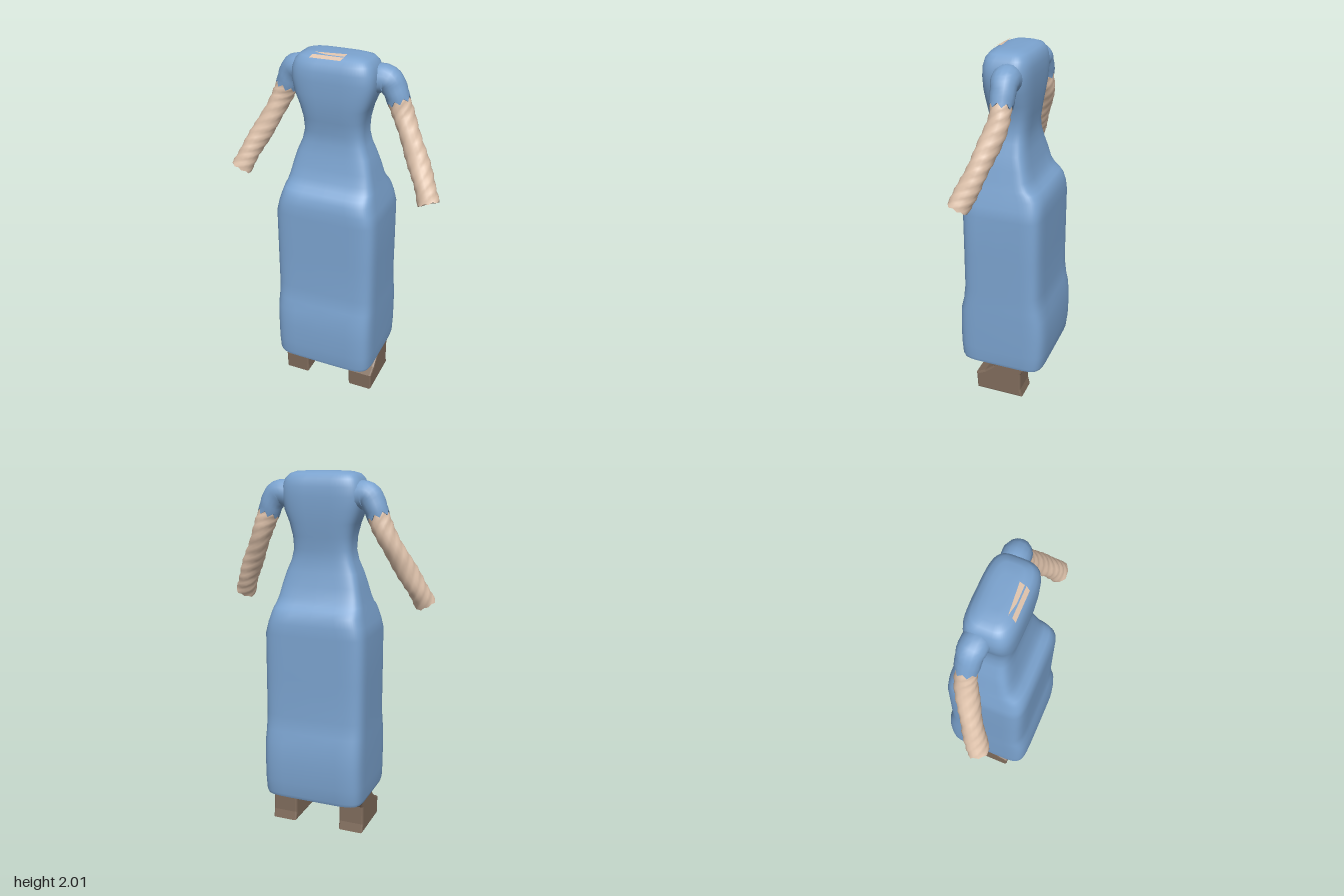
import * as THREE from 'three';

const material = (name, color) => Object.assign(new THREE.MeshStandardMaterial({ color }), { name });

// Smooth skin over a list of rings of points
function loft(rings) {
  const n = rings[0].length, index = [];
  for (let r = 0; r < rings.length - 1; r++) {
    for (let i = 0; i < n; i++) {
      const a = r * n + i, b = r * n + (i + 1) % n;
      index.push(a, a + n, b, b, a + n, b + n);
    }
  }
  const g = new THREE.BufferGeometry().setFromPoints(rings.flat());
  g.setIndex(index);
  g.computeVertexNormals();
  return g;
}

// Rounded-box ring: half width w, front and back depth, squareness p
function boxRing([y, w, front, back, p]) {
  const ring = [], n = 56;
  for (let i = 0; i < n; i++) {
    const t = (i / n) * Math.PI * 2, c = Math.cos(t), s = Math.sin(t);
    const x = Math.sign(c) * Math.abs(c) ** (2 / p) * w;
    const z = Math.sign(s) * Math.abs(s) ** (2 / p) * (s > 0 ? front : back);
    ring.push(new THREE.Vector3(x - 0.004, y, z));
  }
  return ring;
}

// Limb of varying radius along [x, y, z, radius] points, closed at both ends
function limb(stations, side, steps, lump, zigzag) {
  const curve = new THREE.CatmullRomCurve3(stations.map(([x, y, z]) => new THREE.Vector3(x * side, y, z)));
  const n = 16, rings = [];
  const ring = (t, scale) => {
    const c = curve.getPoint(t), T = curve.getTangent(t);
    const u = new THREE.Vector3(0, 0, 1).addScaledVector(T, -T.z).normalize();
    const v = u.clone().cross(T);
    const f = t * (stations.length - 1), k = Math.min(Math.floor(f), stations.length - 2);
    const radius = THREE.MathUtils.lerp(stations[k][3], stations[k + 1][3], f - k);
    return Array.from({ length: n }, (_, i) => {
      const a = (i / n) * Math.PI * 2;
      const r = (radius + lump * Math.sin(a * 3 + t * 23) * Math.cos(t * 37 + a)) * scale;
      const p = c.clone().addScaledVector(u, Math.cos(a) * r).addScaledVector(v, Math.sin(a) * r);
      return t === 1 && scale ? p.addScaledVector(T, (i % 2 ? 1 : -1) * zigzag) : p;
    });
  };
  rings.push(ring(0, 0), ring(0, 1));
  for (let i = 0; i <= steps; i++) rings.push(ring(i / steps, 1));
  rings.push(ring(1, 1), ring(1, 0));
  return loft(rings);
}

export function createModel() {
  const model = new THREE.Group();
  model.name = 'dressedFigure';
  const blue = material('dressBlue', 0x7ba3cf);
  const skin = material('skin', 0xdec2ab);
  const brown = material('shoeBrown', 0x806c5c);
  const add = (name, geometry, mat) => {
    const mesh = new THREE.Mesh(geometry, mat);
    mesh.name = name;
    model.add(mesh);
    return mesh;
  };

  // Dress, from the underside of the hem up to the neckline
  const sections = [
    [0.2, 0, 0, 0, 7], [0.2, 0.285, 0.25, 0.24, 7], [0.2, 0.285, 0.25, 0.24, 7],
    [0.22, 0.291, 0.256, 0.248, 7], [0.3, 0.293, 0.262, 0.257, 7], [0.42, 0.293, 0.262, 0.26, 7],
    [0.53, 0.293, 0.256, 0.252, 7], [0.59, 0.291, 0.24, 0.238, 7], [0.68, 0.29, 0.229, 0.226, 7],
    [0.9, 0.29, 0.228, 0.225, 7], [1.14, 0.289, 0.228, 0.225, 7], [1.2, 0.276, 0.226, 0.222, 6.5],
    [1.25, 0.262, 0.216, 0.212, 6], [1.28, 0.254, 0.195, 0.19, 6], [1.3, 0.248, 0.165, 0.165, 6],
    [1.34, 0.237, 0.142, 0.14, 6], [1.4, 0.222, 0.125, 0.125, 6], [1.47, 0.203, 0.11, 0.108, 5],
    [1.53, 0.178, 0.1, 0.1, 4.5], [1.59, 0.165, 0.1, 0.1, 4], [1.66, 0.168, 0.113, 0.11, 4],
    [1.73, 0.185, 0.125, 0.12, 4], [1.8, 0.213, 0.13, 0.127, 4], [1.87, 0.226, 0.131, 0.13, 4],
    [1.92, 0.222, 0.129, 0.128, 4], [1.96, 0.208, 0.118, 0.12, 4], [1.985, 0.185, 0.097, 0.1, 4],
    [1.997, 0.15, 0.065, 0.07, 4], [2, 0.09, 0.035, 0.04, 4], [2, 0, 0, 0, 4],
  ];
  add('dress', loft(sections.map(boxRing)), blue);

  // Two bare strips at the neckline, following the curved top edge
  const strips = [
    [[-0.1, 2.001, 0.066], [-0.03, 1.997, 0.078], [0.065, 1.997, 0.076], [0.07, 2.003, 0.05]],
    [[-0.1, 1.995, 0.086], [-0.11, 1.982, 0.106], [0.055, 1.983, 0.104], [0.066, 1.995, 0.084]],
  ];
  for (const strip of strips) {
    const g = new THREE.BufferGeometry().setFromPoints(strip.map(([x, y, z]) => new THREE.Vector3(x, y + 0.003, z + 0.002)));
    g.setIndex([0, 1, 2, 0, 2, 3]);
    g.computeVertexNormals();
    add('neckline', g, skin);
  }

  // Shoe side profile as [z, y], extruded across the foot
  const shoe = new THREE.Shape([
    [-0.125, 0.01], [0.135, 0.01], [0.14, 0.1], [0.09, 0.125], [0.05, 0.16], [0.03, 0.18],
    [0.04, 0.205], [-0.16, 0.205], [-0.13, 0.185], [-0.115, 0.16], [-0.115, 0.05],
  ].map(([z, y]) => new THREE.Vector2(z, y)));

  for (const [side, label] of [[1, 'left'], [-1, 'right']]) {
    add(label + 'Sleeve', limb([
      [0.17, 1.87, -0.03, 0.075], [0.25, 1.882, -0.036, 0.07],
      [0.288, 1.835, -0.04, 0.064], [0.312, 1.775, -0.04, 0.06],
    ], side, 14, 0.002, 0.012), blue);
    add(label + 'Arm', limb([
      [0.297, 1.81, -0.04, 0.055], [0.345, 1.7, -0.037, 0.056], [0.42, 1.55, 0.008, 0.056],
      [0.49, 1.42, 0.055, 0.056], [0.541, 1.307, 0.102, 0.057],
    ], side, 30, 0.005, 0.004), skin);

    const g = new THREE.ExtrudeGeometry(shoe, {
      depth: 0.125, bevelEnabled: true, bevelThickness: 0.01, bevelSize: 0.01, bevelSegments: 2,
    });
    g.rotateY(-Math.PI / 2);
    g.translate(0.0625 + side * 0.205 - 0.004, 0, 0);
    add(label + 'Shoe', g, brown);
  }
  return model;
}
